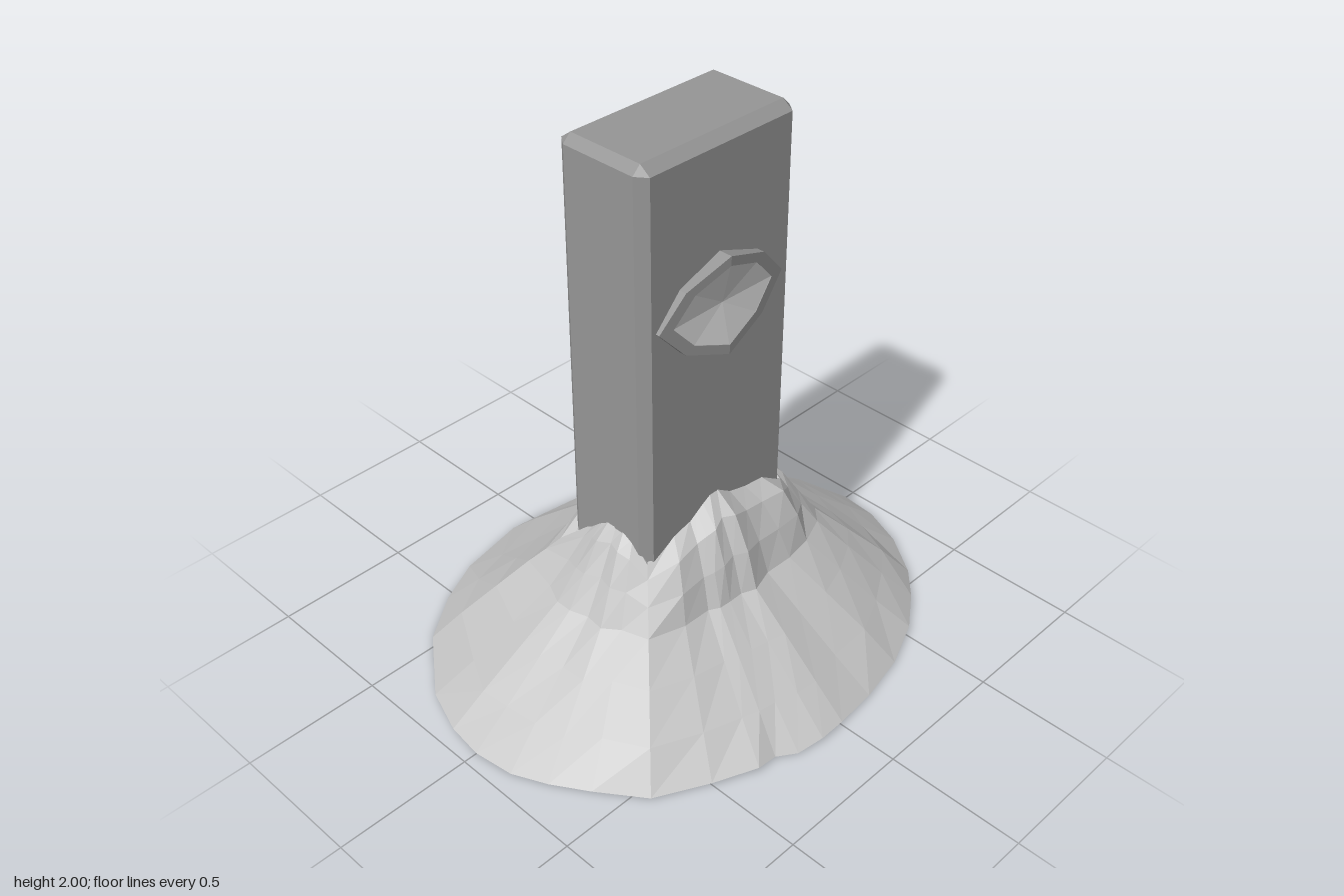
import * as THREE from 'three';
import { ConvexGeometry } from 'three/addons/geometries/ConvexGeometry.js';

const stone = new THREE.MeshStandardMaterial({ color: 0x969696, flatShading: true });
stone.name = 'stone grey';
const sand = new THREE.MeshStandardMaterial({ color: 0xc4c4c4, flatShading: true, side: THREE.DoubleSide });
sand.name = 'pale sand grey';
const gem = new THREE.MeshStandardMaterial({ color: 0xd0d0d0, flatShading: true, side: THREE.DoubleSide });
gem.name = 'light gem grey';

// Joins closed loops of points, each loop counter to the last, into a surface.
function skin(loops, flip) {
  const n = loops[0].length, pos = [], idx = [];
  loops.forEach(l => l.forEach(p => pos.push(p[0], p[1], p[2])));
  for (let r = 0; r < loops.length - 1; r++) {
    for (let i = 0; i < n; i++) {
      const a = r * n + i, b = r * n + (i + 1) % n, c = a + n, d = b + n;
      if (flip) idx.push(a, b, c, b, d, c);
      else idx.push(a, c, b, b, c, d);
    }
  }
  const g = new THREE.BufferGeometry();
  g.setAttribute('position', new THREE.Float32BufferAttribute(pos, 3));
  g.setIndex(idx);
  g.computeVertexNormals();
  return g;
}

function add(group, name, geometry, material) {
  const m = new THREE.Mesh(geometry, material);
  m.name = name;
  group.add(m);
  return m;
}

// Box with every edge chamfered by its own amount per axis.
function chamferedBox(h, c) {
  const pts = [];
  for (const sx of [-1, 1]) for (const sy of [-1, 1]) for (const sz of [-1, 1]) {
    for (let k = 0; k < 3; k++) {
      const p = [0, 1, 2].map(a => (a === k ? h[a] : h[a] - c[a]));
      pts.push(new THREE.Vector3(sx * p[0], sy * p[1], sz * p[2]));
    }
  }
  return new ConvexGeometry(pts);
}

// Sloping mound: foot x, foot z and the height where it meets the pillar.
const foot = [
  [0.95, 0, 0.60], [0.93, 0.15, 0.60], [0.88, 0.30, 0.60], [0.78, 0.45, 0.59],
  [0.67, 0.55, 0.55], [0.53, 0.65, 0.62], [0.36, 0.72, 0.63], [0.17, 0.76, 0.65],
  [0, 0.78, 0.69], [-0.10, 0.78, 0.69], [-0.20, 0.76, 0.67], [-0.27, 0.72, 0.65],
  [-0.35, 0.72, 0.63], [-0.50, 0.65, 0.61], [-0.68, 0.55, 0.55], [-0.80, 0.40, 0.62],
  [-0.88, 0.28, 0.64], [-0.93, 0.15, 0.64], [-0.95, 0, 0.64], [-0.94, -0.13, 0.62],
  [-0.88, -0.30, 0.58], [-0.70, -0.54, 0.49], [-0.53, -0.66, 0.60], [-0.37, -0.73, 0.66],
  [-0.10, -0.79, 0.75], [0.05, -0.78, 0.75], [0.20, -0.75, 0.73], [0.38, -0.70, 0.62],
  [0.53, -0.65, 0.57], [0.65, -0.55, 0.50], [0.80, -0.38, 0.56], [0.90, -0.20, 0.58],
];

function moundGeometry() {
  // spread from pillar to foot, base height, share of the rise above 0.36
  const rings = [[1, 0.01, 0], [0.78, 0.12, 0], [0.53, 0.245, 0], [0.3, 0.36, 0],
    [0.18, 0.36, 0.42], [0.08, 0.36, 0.8], [0, 0.36, 1], [-0.09, 0.36, 1.02]];
  return skin(rings.map(([s, y, rise], r) => foot.map(([x, z, top], i) => {
    // foot point projected onto the pillar's rectangular outline
    const u = x / 0.95, v = z / 0.78, m = Math.max(Math.abs(u), Math.abs(v));
    const ix = 0.325 * u / m, iz = 0.005 + 0.18 * v / m;
    const rough = r > 0 && r < 6 ? 0.022 * Math.sin(i * 2.4 + r * 0.35) : 0;
    const bulge = (r === 4 || r === 5) && v === m ? 0.05 : 0;
    const t = s + rough + bulge;
    const wobble = r === 0 ? 0.008 * Math.sin(i * 1.7) : 0;
    return [ix + (x - ix) * t, y + wobble + (top - 0.36) * rise, iz + (z - iz) * t];
  })));
}

// Eight-cornered almond outline, bent back towards its two tips.
function almond(w, h, depth) {
  const corners = [[1, 0], [0.63, 0.63], [0, 1], [-0.63, 0.63], [-1, 0], [-0.63, -0.63], [0, -1], [0.63, -0.63]];
  return corners.map(([x, y]) => [x * w, y * h, depth(Math.abs(x * w))]);
}

export function createModel() {
  const model = new THREE.Group();
  model.name = 'pillarOnMound';

  // Tall chamfered slab whose foot hangs inside the hollow mound
  const pillar = add(model, 'pillar', chamferedBox([0.333, 0.82, 0.185], [0.03, 0.03, 0.04]), stone);
  pillar.position.set(0, 1.18, 0.005);

  add(model, 'mound', moundGeometry(), sand);

  // Almond ornament on the front: raised frame with a shallow faceted dish
  const ornament = new THREE.Group();
  ornament.name = 'ornament';
  ornament.position.set(-0.01, 1.437, 0);
  const bent = x => 0.24 - 0.13 * x;
  const outer = almond(0.275, 0.177, bent), inner = almond(0.22, 0.143, bent);
  const dishRim = almond(0.22, 0.143, x => bent(x) - 0.003);
  add(ornament, 'ornamentFrame', skin([almond(0.275, 0.177, () => 0.18), outer, inner, dishRim], true), stone);
  add(ornament, 'ornamentDish', skin([dishRim, dishRim.map(() => [0, 0, 0.205])], true), gem);
  model.add(ornament);

  return model;
}
